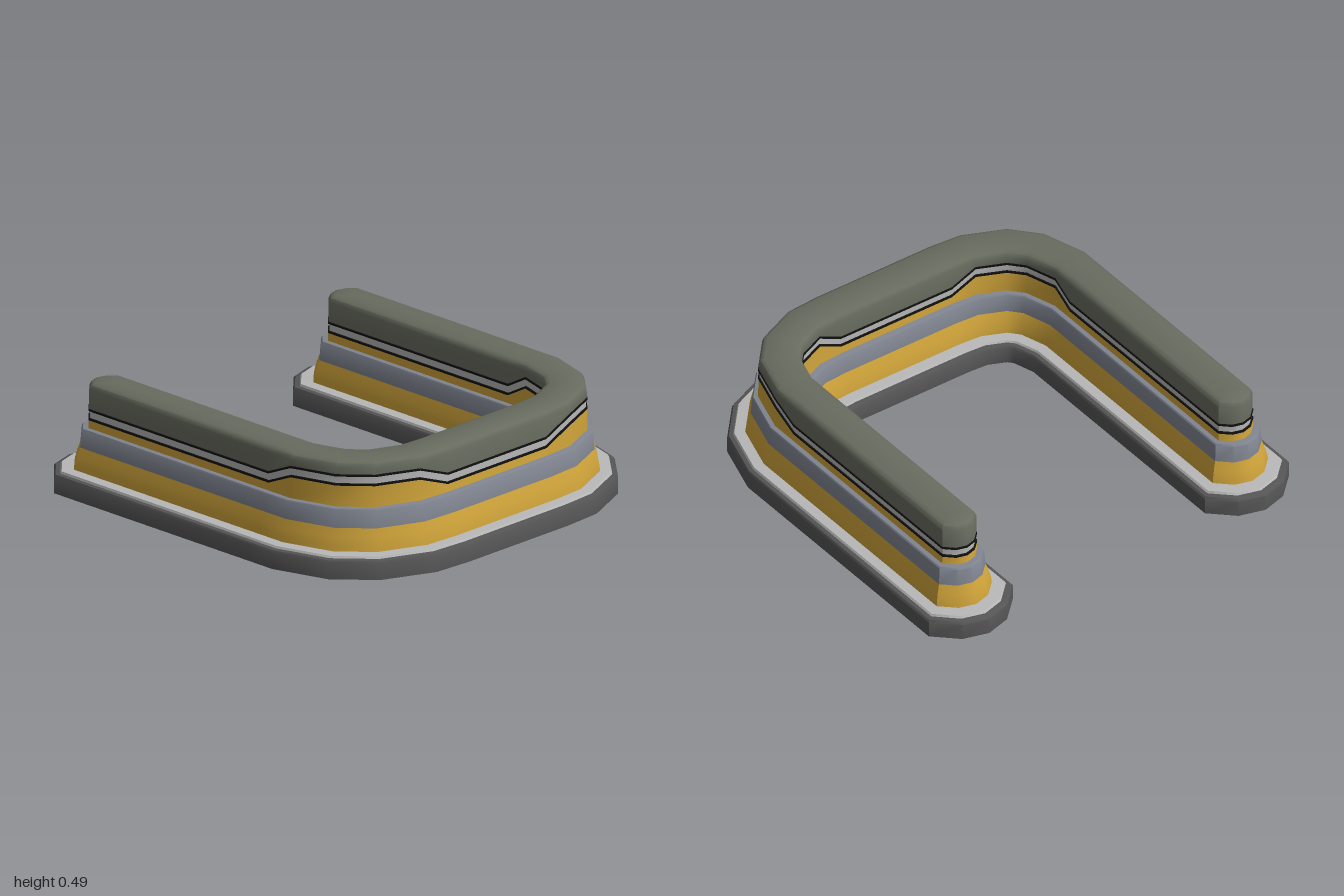
import * as THREE from 'three';
import { toCreasedNormals } from 'three/addons/utils/BufferGeometryUtils.js';

// Half of the U-shaped centre line: x, z, and how far the trim stripe is raised (0 to 1)
const half = [
  [0.74, -0.725, 0], [0.74, 0.3, 0], [0.74, 0.42, 1], [0.685, 0.6, 1],
  [0.6, 0.695, 1], [0.44, 0.765, 1], [0.3, 0.775, 0],
];
const path = [...half, ...half.slice().reverse().map(([x, z, h]) => [-x, z, h])];
const RISE = 0.06;

// Mitred outward normal at every station of the centre line
const normals = path.map((p, i) => {
  const edge = (a, b) => new THREE.Vector2(b[1] - a[1], a[0] - b[0]).normalize();
  const before = i > 0 ? edge(path[i - 1], p) : null;
  const after = i < path.length - 1 ? edge(p, path[i + 1]) : null;
  if (!before || !after) return before || after;
  const n = before.clone().add(after).normalize();
  return n.divideScalar(n.dot(before));
});

// Closed outline at distance d from the centre line, with faceted round arm ends
function outline(d, y, wave) {
  const end = -0.725 - 0.62 * d;
  const last = path.length - 1;
  const side = (s) => path.map(([x, z, h], i) => {
    const n = normals[i];
    const pz = i === 0 || i === last ? end : z + s * d * n.y;
    return new THREE.Vector3(x + s * d * n.x, y + wave * h * RISE, pz);
  });
  const cap = (cx, s) => [[-0.53, 0.45], [0, 0.6], [0.53, 0.45]].map(
    ([u, v]) => new THREE.Vector3(cx + s * u * d, y, end - v * d));
  return [...side(1), ...cap(-0.74, 1), ...side(-1).reverse(), ...cap(0.74, 1)];
}

// Skin through the outlines of a profile: rows of [distance, height, wave]
function band(name, color, profile) {
  const rows = profile.map(([d, y, wave = 0]) => outline(d, y, wave));
  const pos = [];
  const tri = (a, b, c) => {
    const area = b.clone().sub(a).cross(c.clone().sub(a)).length();
    if (area > 1e-8) for (const v of [a, b, c]) pos.push(v.x, v.y, v.z);
  };
  for (let r = 0; r < rows.length - 1; r++) {
    const lo = rows[r], hi = rows[r + 1];
    for (let i = 0; i < lo.length; i++) {
      const j = (i + 1) % lo.length;
      tri(lo[i], hi[i], lo[j]);
      tri(lo[j], hi[i], hi[j]);
    }
  }
  const geo = new THREE.BufferGeometry();
  geo.setAttribute('position', new THREE.Float32BufferAttribute(pos, 3));
  const mat = new THREE.MeshStandardMaterial({ color, side: THREE.DoubleSide });
  const mesh = new THREE.Mesh(toCreasedNormals(geo, 0.75), mat);
  mesh.name = name;
  return mesh;
}

export function createModel() {
  const group = new THREE.Group();
  group.name = 'curvedBarrier';
  const dark = 0x555555, light = 0xb8b8b8, yellow = 0xd0a43a;
  const slate = 0x808590, olive = 0x686c5f, black = 0x101010;

  group.add(
    // Foot rim, open underneath
    band('baseRim', dark, [[0.18, 0], [0.225, 0], [0.225, 0.075], [0.218, 0.085], [0.2, 0.088]]),
    band('baseLedge', light, [[0.2, 0.088], [0.195, 0.097], [0.148, 0.1]]),
    // Stepped skirt
    band('lowerSkirt', yellow, [[0.148, 0.1], [0.145, 0.125], [0.137, 0.16], [0.125, 0.2]]),
    band('middleBand', slate, [[0.125, 0.2], [0.119, 0.278], [0.114, 0.285], [0.094, 0.287]]),
    band('upperSkirt', yellow, [[0.094, 0.287], [0.091, 0.322, 1]]),
    // Wavy trim stripe with dark borders
    band('lowerTrimLine', black, [[0.091, 0.322, 1], [0.094, 0.323, 1], [0.094, 0.332, 1], [0.088, 0.333, 1]]),
    band('trimStripe', light, [[0.088, 0.333, 1], [0.088, 0.364, 1]]),
    band('upperTrimLine', black, [[0.088, 0.364, 1], [0.094, 0.365, 1], [0.094, 0.374, 1], [0.091, 0.375, 1]]),
    // Padded top rail with bevelled edge
    band('topRail', olive, [[0.091, 0.375, 1], [0.091, 0.463], [0.083, 0.483], [0.065, 0.492], [0, 0.492]]),
  );
  return group;
}
